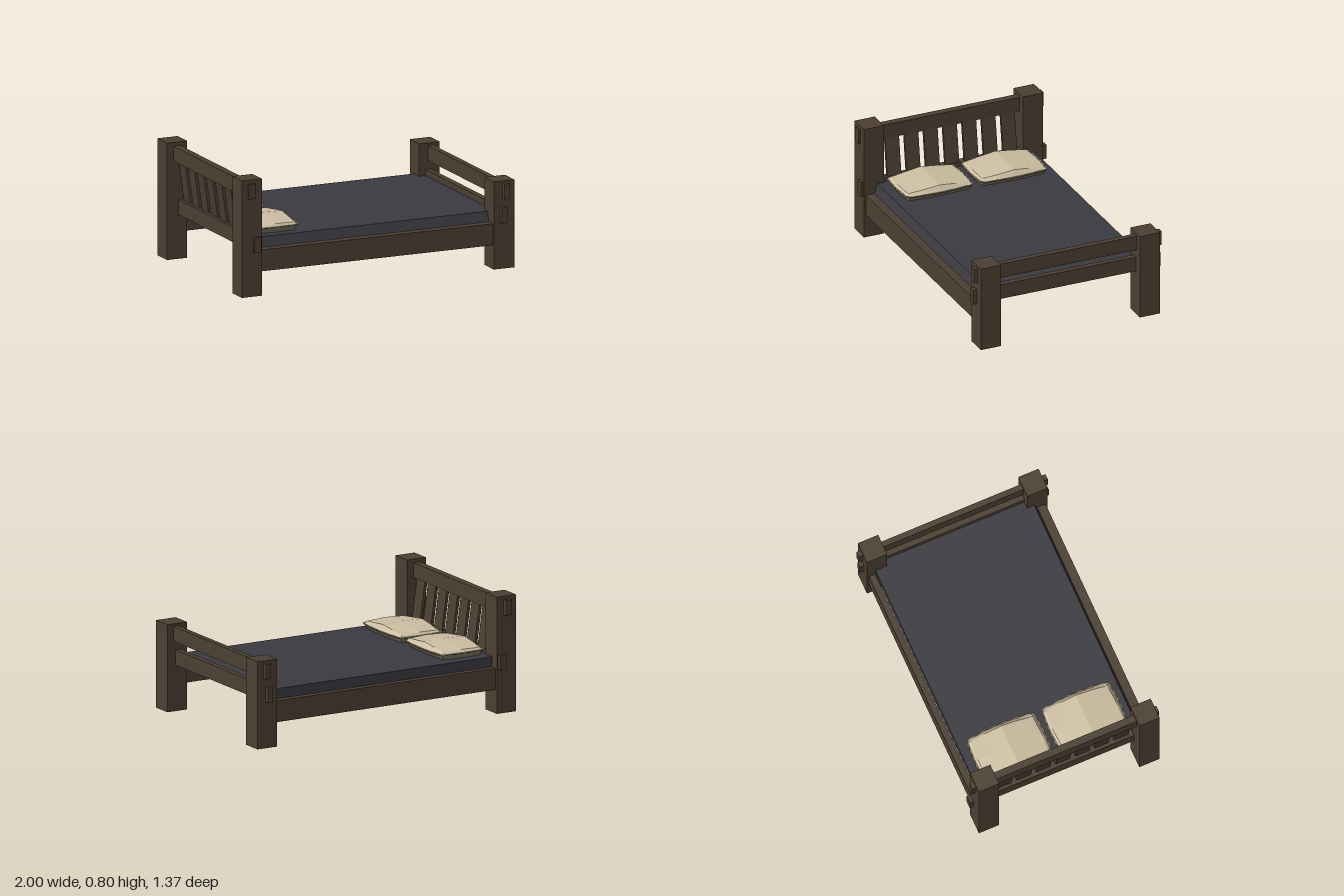
import * as THREE from 'three';

export function createModel() {
  const bed = new THREE.Group();
  bed.name = 'bed';

  const mat = (name, color) => {
    const m = new THREE.MeshStandardMaterial({ color });
    m.name = name;
    return m;
  };
  const wood = mat('dark wood', 0x4d4033);
  const cloth = mat('charcoal cloth', 0x3c3b41);
  const cream = mat('cream linen', 0xcdbfa3);
  const trim = mat('linen trim', 0x8f886f);

  function add(name, geometry, material, parent = bed) {
    const mesh = new THREE.Mesh(geometry, material);
    mesh.name = name;
    parent.add(mesh);
    return mesh;
  }

  // Box given by its limits on each axis
  function block(name, x0, x1, y0, y1, z0, z1, material = wood) {
    const g = new THREE.BoxGeometry(x1 - x0, y1 - y0, z1 - z0);
    g.translate((x0 + x1) / 2, (y0 + y1) / 2, (z0 + z1) / 2);
    return add(name, g, material);
  }

  // Corner posts
  for (const [side, z0, z1] of [['Front', 0.508, 0.655], ['Back', -0.655, -0.508]]) {
    block('headPost' + side, -1, -0.853, 0, 0.8, z0, z1);
    block('footPost' + side, 0.85, 1, 0, 0.6, z0, z1);
  }

  // Cross rails, whose tenons pass through the posts
  block('headUpperRail', -0.955, -0.905, 0.672, 0.775, -0.683, 0.672);
  block('headLowerRail', -0.915, -0.863, 0.302, 0.405, -0.683, 0.672);
  block('footUpperRail', 0.913, 0.953, 0.48, 0.582, -0.686, 0.684);
  block('footLowerRail', 0.897, 0.937, 0.315, 0.42, -0.686, 0.684);

  // Side rails
  block('frontSideRail', -0.9, 0.9, 0.163, 0.31, 0.58, 0.64);
  block('backSideRail', -0.9, 0.9, 0.163, 0.31, -0.64, -0.595);

  // Leaning headboard slats
  for (let i = -3; i <= 3; i++) {
    const g = new THREE.BoxGeometry(0.02, 0.31, 0.102);
    const p = g.attributes.position;
    for (let k = 0; k < p.count; k++) p.setX(k, p.getX(k) - p.getY(k) * 0.14);
    g.computeVertexNormals();
    add('headboardSlat', g, wood).position.set(-0.902, 0.54, i * 0.141);
  }

  // Mattress, with a slightly sloping front
  const mattress = block('mattress', -0.863, 0.903, 0.304, 0.378, -0.592, 0.58, cloth);
  const mp = mattress.geometry.attributes.position;
  for (let k = 0; k < mp.count; k++) {
    if (mp.getY(k) > 0.35 && mp.getZ(k) > 0) mp.setZ(k, 0.558);
  }
  mattress.geometry.computeVertexNormals();

  // Pillow half: a grid that swells in the middle and has bowed edges
  const us = [-1, -0.84, 0, 0.84, 1];
  const vs = [-1, -0.92, -0.45, 0, 0.45, 0.92, 1];
  const outline = (u, v) => [
    u * (0.162 + 0.02 * (1 - v * v)),
    v * (0.24 + 0.012 * (1 - u * u)),
  ];
  function pillowHalf(top) {
    const pos = [], index = [];
    for (const v of vs) for (const u of us) {
      const [x, z] = outline(u, v);
      const rim = Math.abs(u) === 1 || Math.abs(v) === 1;
      const swell = 0.012 + 0.028 * (1 - Math.abs(v)) + 0.006 * (1 - Math.abs(u));
      pos.push(x, rim ? 0 : top ? swell : -0.038, z);
    }
    const n = us.length;
    for (let j = 0; j < vs.length - 1; j++) for (let i = 0; i < n - 1; i++) {
      const a = j * n + i, b = a + 1, c = a + n, d = c + 1;
      if (top) index.push(a, c, b, b, c, d);
      else index.push(a, b, c, b, d, c);
    }
    const g = new THREE.BufferGeometry();
    g.setAttribute('position', new THREE.Float32BufferAttribute(pos, 3));
    g.setIndex(index);
    const flat = g.toNonIndexed();
    flat.computeVertexNormals();
    return flat;
  }

  // Thin uneven frill around the seam
  function frill() {
    const pts = [];
    const steps = 12;
    const edges = [
      (t) => [t, -1, 0, -1], (t) => [1, t, 1, 0],
      (t) => [-t, 1, 0, 1], (t) => [-1, -t, -1, 0],
    ];
    for (const edge of edges) for (let i = 0; i < steps; i++) {
      const [u, v, nx, nz] = edge(-1 + (2 * i) / steps);
      const [x, z] = outline(u, v);
      const out = i % 2 ? 0.008 : 0.001;
      pts.push(new THREE.Vector2(x + nx * out, -(z + nz * out)));
    }
    const g = new THREE.ExtrudeGeometry(new THREE.Shape(pts), { depth: 0.006, bevelEnabled: false });
    g.rotateX(-Math.PI / 2);
    g.translate(0, -0.003, 0);
    return g;
  }

  // Two pillows side by side
  for (const [name, z] of [['backPillow', -0.285], ['frontPillow', 0.257]]) {
    const pillow = new THREE.Group();
    pillow.name = name;
    pillow.position.set(-0.67, 0.417, z);
    add('pillowTop', pillowHalf(true), cream, pillow);
    add('pillowUnderside', pillowHalf(false), trim, pillow);
    add('pillowFrill', frill(), trim, pillow);
    bed.add(pillow);
  }

  return bed;
}
